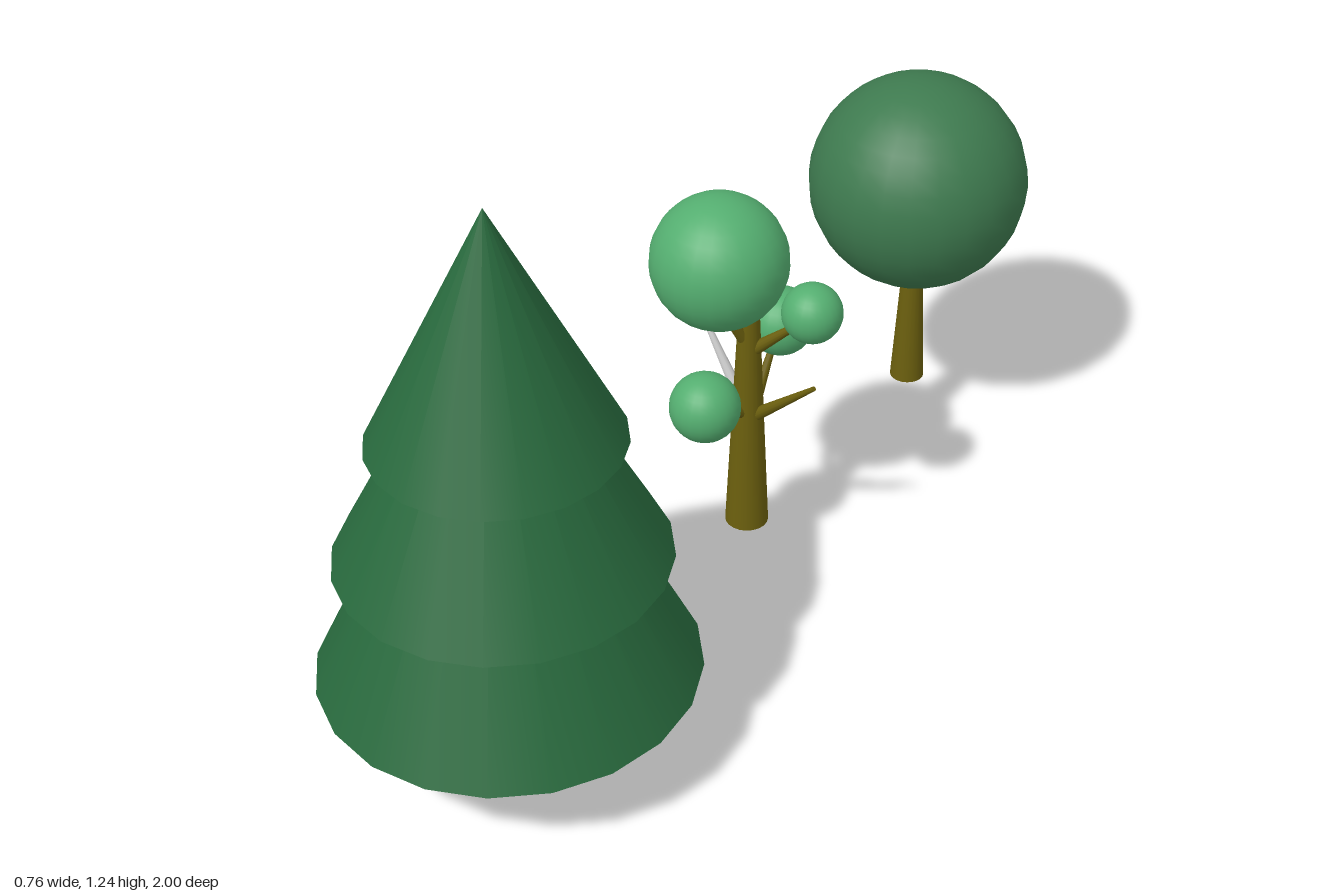
import * as THREE from 'three';

const mat = (color) => new THREE.MeshStandardMaterial({ color });
const UP = new THREE.Vector3(0, 1, 0);

export function createModel() {
  const model = new THREE.Group();
  const bark = mat(0x6b5f0e);
  const pineGreen = mat(0x28693d);
  const roundGreen = mat(0x3e7a4f);
  const lightGreen = mat(0x54ae70);
  const grey = mat(0xcccccc);

  const add = (parent, name, geometry, material, x, y, z) => {
    const mesh = new THREE.Mesh(geometry, material);
    mesh.name = name;
    mesh.position.set(x, y, z);
    parent.add(mesh);
    return mesh;
  };
  const tree = (name, z) => {
    const group = new THREE.Group();
    group.name = name;
    group.position.z = z;
    model.add(group);
    return group;
  };
  // Upright tapered trunk between two heights
  const trunk = (parent, y0, y1, r0, r1) =>
    add(parent, 'trunk', new THREE.CylinderGeometry(r1, r0, y1 - y0, 20), bark, 0, (y0 + y1) / 2, 0);
  // Tapered branch between two points
  const branch = (parent, from, to, material = bark, r0 = 0.016, r1 = 0.005) => {
    const a = new THREE.Vector3(...from);
    const b = new THREE.Vector3(...to);
    const dir = b.clone().sub(a);
    const mid = a.clone().add(b).multiplyScalar(0.5);
    const mesh = add(parent, 'branch', new THREE.CylinderGeometry(r1, r0, dir.length(), 12), material, mid.x, mid.y, mid.z);
    mesh.quaternion.setFromUnitVectors(UP, dir.normalize());
  };
  const foliage = (parent, r, material, x, y, z) =>
    add(parent, 'foliage', new THREE.SphereGeometry(r, 24, 18), material, x, y, z);

  // Pine: thick trunk and three stacked cones
  const pine = tree('pineTree', 0.62);
  trunk(pine, 0, 0.25, 0.127, 0.127);
  for (const [base, radius, apex] of [[0.21, 0.38, 0.98], [0.48, 0.327, 1.1], [0.745, 0.246, 1.235]]) {
    add(pine, 'pineTier', new THREE.ConeGeometry(radius, apex - base, 20), pineGreen, 0, (base + apex) / 2, 0);
  }

  // Branching tree with four leaf balls
  const branching = tree('branchingTree', -0.14);
  trunk(branching, 0.09, 0.68, 0.047, 0.02);
  foliage(branching, 0.144, lightGreen, -0.026, 0.777, 0.067);
  foliage(branching, 0.064, lightGreen, 0.14, 0.67, -0.028);
  foliage(branching, 0.075, lightGreen, 0, 0.552, -0.11);
  foliage(branching, 0.075, lightGreen, 0, 0.471, 0.147);
  branch(branching, [0, 0.55, 0], [-0.026, 0.7, 0.09]);
  branch(branching, [0, 0.53, 0], [0.13, 0.65, -0.025]);
  branch(branching, [0, 0.34, 0], [0, 0.53, -0.1]);
  branch(branching, [0, 0.37, 0], [0, 0.47, 0.13]);
  // Bare branches to the sides
  branch(branching, [0, 0.36, 0], [0.17, 0.51, 0]);
  branch(branching, [0, 0.37, 0], [-0.12, 0.57, 0], grey);
  branch(branching, [0, 0.55, 0], [-0.06, 0.66, 0], grey);

  // Round-crowned tree
  const round = tree('roundTree', -0.756);
  trunk(round, 0.14, 0.52, 0.039, 0.019);
  foliage(round, 0.244, roundGreen, 0, 0.665, 0);

  return model;
}
